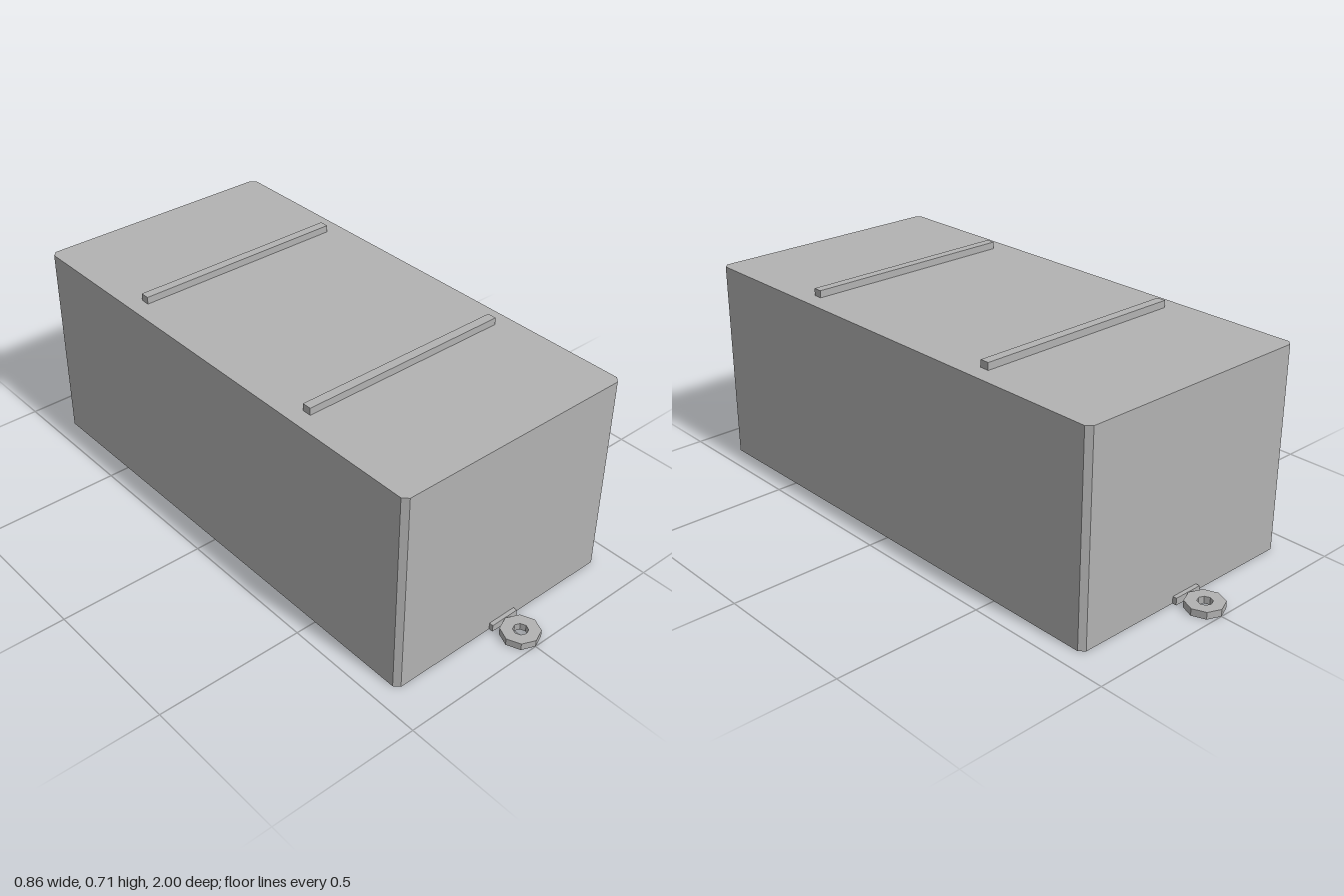
import * as THREE from 'three';

const grey = new THREE.MeshStandardMaterial({ color: 0xb2b2b2, flatShading: true });
grey.name = 'plain grey';

// Extrudes a plan outline (x, z) upwards from y = 0
function extrudeUp(shape, height) {
  const geo = new THREE.ExtrudeGeometry(shape, { depth: height, bevelEnabled: false });
  return geo.rotateX(-Math.PI / 2);
}

function octagon(r) {
  return Array.from({ length: 8 }, (_, i) =>
    new THREE.Vector2(Math.cos(i * Math.PI / 4) * r, Math.sin(i * Math.PI / 4) * r));
}

export function createModel() {
  const model = new THREE.Group();
  model.name = 'box';

  function add(name, geo, x, y, z) {
    const mesh = new THREE.Mesh(geo, grey);
    mesh.name = name;
    mesh.position.set(x, y, z);
    model.add(mesh);
  }

  // Body with chamfered vertical corners
  const w = 0.43, d = 0.86, c = 0.017;
  const plan = new THREE.Shape([
    [w, -d + c], [w, d - c], [w - c, d], [-w + c, d],
    [-w, d - c], [-w, -d + c], [-w + c, -d], [w - c, -d],
  ].map(([x, z]) => new THREE.Vector2(x, z)));
  add('body', extrudeUp(plan, 0.69), 0, 0, 0);

  // Octagonal mounting ring outline with its hole
  const ring = new THREE.Shape(octagon(0.0625));
  ring.holes.push(new THREE.Path(octagon(0.024)));

  for (const [side, s] of [['front', 1], ['back', -1]]) {
    // Raised rib across the lid
    add(side + 'Rib', new THREE.BoxGeometry(0.744, 0.024, 0.031), 0, 0.702, s * 0.396);
    // Mounting lug: short tab and ring
    add(side + 'LugTab', new THREE.BoxGeometry(0.104, 0.024, 0.016), 0, 0.012, s * 0.866);
    add(side + 'LugRing', extrudeUp(ring, 0.024), 0, 0, s * 0.9375);
  }
  return model;
}
